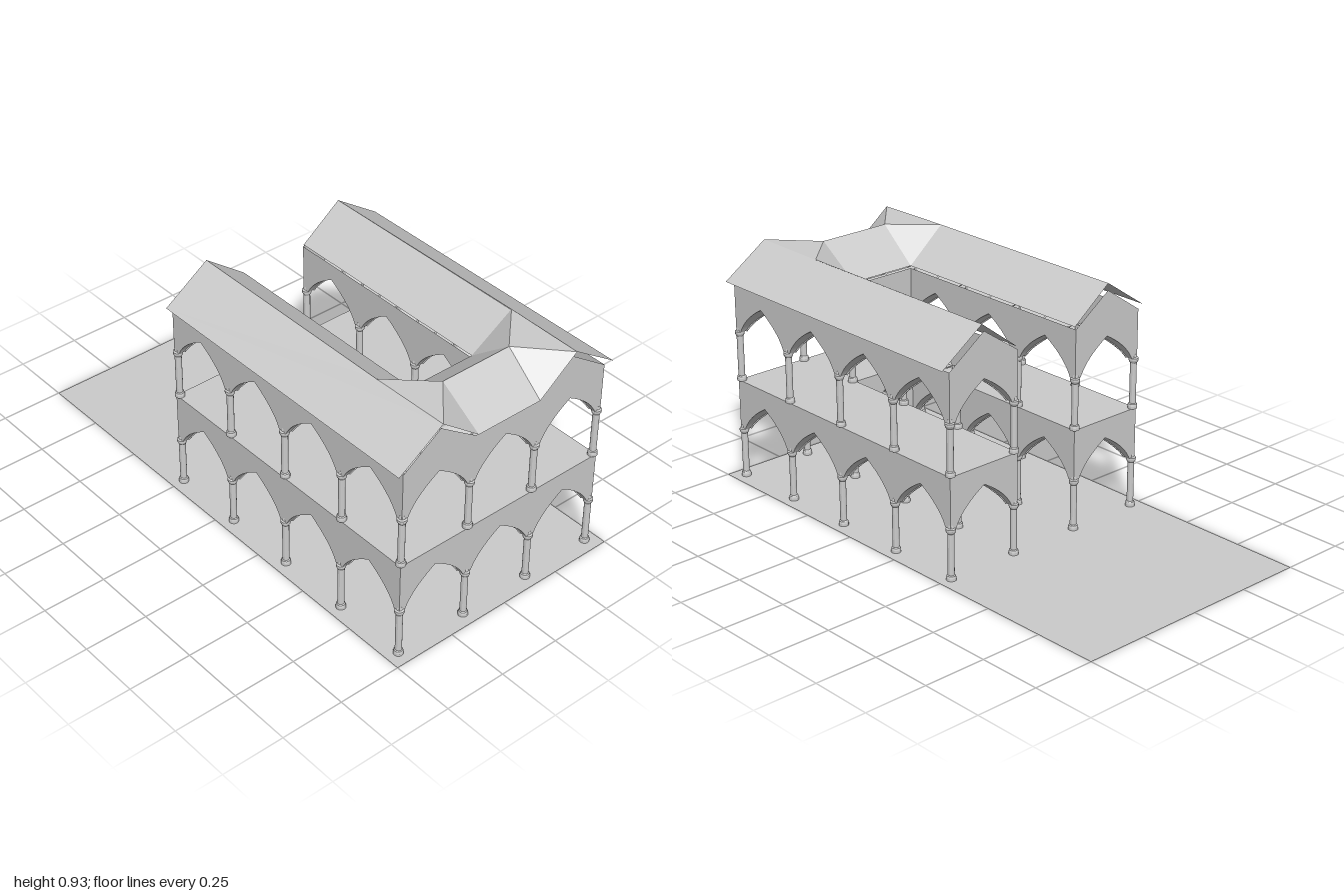
import * as THREE from 'three';

const mat = new THREE.MeshStandardMaterial({ color: 0xcccccc, side: THREE.DoubleSide });
const flat = new THREE.MeshStandardMaterial({ color: 0xcccccc, side: THREE.DoubleSide, flatShading: true });

const BAY = 0.3, OUT = 0.009;            // bay spacing, wall offset from column axes
const X0 = -0.253, X1 = X0 + 4 * BAY;    // first and last column rows
const STEPS = 10;

// Half a pointed arch, from springing (x = 0.132) to apex (x = 0)
const half = new THREE.QuadraticBezierCurve(
  new THREE.Vector2(0.132, 0), new THREE.Vector2(0.103, 0.066), new THREE.Vector2(0, 0.125)
).getPoints(STEPS);
const arch = [...half.map(p => new THREE.Vector2(-p.x, p.y)),
  ...half.slice(0, -1).reverse()];       // left foot to right foot

function add(parent, name, geometry, material = mat) {
  const mesh = new THREE.Mesh(geometry, material);
  mesh.name = name;
  parent.add(mesh);
  return mesh;
}

// Polygons given as corner lists, fanned into flat triangles
function polygons(list) {
  const pos = [];
  for (const p of list)
    for (let i = 1; i < p.length - 1; i++) pos.push(...p[0], ...p[i], ...p[i + 1]);
  const g = new THREE.BufferGeometry();
  g.setAttribute('position', new THREE.Float32BufferAttribute(pos, 3));
  g.computeVertexNormals();
  return g;
}

// Arcade wall in its own plane: bays centred on x = 0, springing at y = 0
function wallGeometry(bays, left, right, top) {
  const s = new THREE.Shape();
  s.moveTo(left, 0);
  for (let i = 0; i < bays; i++) {
    const c = (i - (bays - 1) / 2) * BAY;
    arch.forEach(p => s.lineTo(c + p.x, p.y));
  }
  s.lineTo(right, 0);
  top.forEach(([x, y]) => s.lineTo(x, y));
  s.closePath();
  return new THREE.ShapeGeometry(s);
}

// Four webs of a pointed groin vault
function vaultGeometry() {
  const w = BAY / 2 + OUT, pos = [], idx = [];
  for (let k = 0; k < 4; k++) {
    const c = Math.round(Math.cos(k * Math.PI / 2)), s = Math.round(Math.sin(k * Math.PI / 2));
    const base = pos.length / 3;
    arch.forEach((p, i) => {
      for (const v of [Math.abs(p.x), w]) pos.push(p.x * c + v * s, p.y, -p.x * s + v * c);
      if (i) {
        const a = base + i * 2;
        idx.push(a - 2, a, a - 1, a - 1, a, a + 1);
      }
    });
  }
  const g = new THREE.BufferGeometry();
  g.setAttribute('position', new THREE.Float32BufferAttribute(pos, 3));
  g.setIndex(idx);
  g.computeVertexNormals();
  return g;
}

// Thin rib following the arch; stretch and angle make diagonals
function ribGeometry(dx, dz) {
  const pts = arch.map(p => new THREE.Vector3(p.x * dx, p.y, p.x * dz));
  return new THREE.TubeGeometry(new THREE.CatmullRomCurve3(pts), 20, 0.004, 5);
}

const columnGeometry = new THREE.LatheGeometry([
  [0, 0], [0.0185, 0], [0.0185, 0.01], [0.0165, 0.018], [0.0128, 0.021],
  [0.0128, 0.181], [0.0165, 0.186], [0.0185, 0.192], [0.0185, 0.2], [0.012, 0.203],
  [0.01, 0.215], [0, 0.215]
].map(([x, y]) => new THREE.Vector2(x, y)), 12);

function storey(upper) {
  const g = new THREE.Group();
  g.name = upper ? 'upperStorey' : 'lowerStorey';
  const top = upper ? 0.19 : 0.2, spring = 0.2, peak = 0.3;

  // Columns on every grid point
  for (let i = 0; i < 5; i++)
    for (let j = 0; j < 4; j++)
      add(g, 'column', columnGeometry, flat).position.set(X0 + i * BAY, 0, (j - 1.5) * BAY);

  // Vaults over the two wings and the linking bay
  const vault = vaultGeometry();
  const diagonals = [ribGeometry(1, 1), ribGeometry(1, -1)];
  const across = ribGeometry(0, 1), along = ribGeometry(1, 0);
  for (let i = 0; i < 4; i++)
    for (let j = -1; j <= 1; j++) {
      if (j === 0 && i < 3) continue;
      const x = X0 + (i + 0.5) * BAY, z = j * BAY;
      add(g, 'vault', vault).position.set(x, spring, z);
      diagonals.forEach(d => { add(g, 'diagonalRib', d).position.set(x, spring, z); });
      if (i > 0 && j !== 0) add(g, 'transverseRib', across).position.set(x - BAY / 2, spring, z);
      if (j === 0)
        for (const s of [-1, 1]) add(g, 'transverseRib', along).position.set(x, spring, s * BAY / 2);
    }

  // Arcade walls
  const wall = (name, bays, l, r, x, z, turn, gable) => {
    const line = gable || [[r, top], [l, top]];
    const m = add(g, name, wallGeometry(bays, l, r, line));
    m.position.set(x, spring, z);
    m.rotation.y = turn;
  };
  const xm = (X0 + X1) / 2, L = 2 * BAY + OUT, E = 1.5 * BAY + OUT, I = BAY / 2 - OUT;
  const endTop = upper && [[E, top], [BAY, peak], [I, top], [-I, top], [-BAY, peak], [-E, top]];
  wall('rightEndWall', 3, -E, E, X1 + OUT, 0, Math.PI / 2, endTop);
  wall('courtyardEndWall', 1, -I, I, X1 - BAY - OUT, 0, Math.PI / 2);
  const W = BAY / 2 + OUT;
  const wingTop = upper && [[W, top], [0, peak], [-W, top]];
  for (const s of [-1, 1]) {
    wall('longWall', 4, -L, L, xm, s * E, 0);
    wall('courtyardWall', 3, -1.5 * BAY - OUT, 1.5 * BAY - OUT, X0 + 1.5 * BAY, s * I, 0);
    wall('wingEndWall', 1, -W, W, X0 - OUT, s * BAY, Math.PI / 2, wingTop);
  }
  return g;
}

// U-shaped floor above the lower storey
function floorGeometry() {
  const a = X0 - OUT, b = X1 + OUT, c = X1 - BAY - OUT, e = 1.5 * BAY + OUT, i = BAY / 2 - OUT;
  const s = new THREE.Shape([[a, -e], [b, -e], [b, e], [a, e], [a, i], [c, i], [c, -i], [a, -i]]
    .map(([x, y]) => new THREE.Vector2(x, y)));
  return new THREE.ShapeGeometry(s).rotateX(-Math.PI / 2);
}

// Thin pitched roof over both wings, joined by a lower-span cross ridge
function roofGeometry() {
  const lo = 0.8, hi = 0.925, a = -0.258, b = 0.968, faces = [];
  for (const s of [-1, 1]) {
    const ridgeA = [a, hi, s * 0.305], ridgeK = [0.65, hi, s * 0.307], ridgeB = [b, hi, s * 0.302];
    const crown = [0.8, hi, s * 0.15], innerK = [0.637, lo, s * 0.14], innerB = [b, lo, s * 0.14];
    const list = [
      [[a, lo, s * 0.488], [b, lo, s * 0.488], ridgeB, ridgeK, ridgeA],
      [ridgeA, ridgeK, innerK, [a, lo, s * 0.14]],
      [ridgeK, crown, innerK],
      [ridgeK, ridgeB, crown],
      [ridgeB, innerB, crown]
    ];
    faces.push(...(s > 0 ? list : list.map(f => f.reverse())));
  }
  faces.push(
    [[0.637, lo, -0.14], [0.637, lo, 0.14], [0.8, hi, 0.15], [0.8, hi, -0.15]],
    [[0.8, hi, -0.15], [0.8, hi, 0.15], [b, lo, 0.14], [b, lo, -0.14]]
  );
  return polygons(faces);
}

export function createModel() {
  const model = new THREE.Group();
  model.name = 'arcadedCourtyardBuilding';
  add(model, 'ground', new THREE.PlaneGeometry(2, 1).rotateX(-Math.PI / 2));
  model.add(storey(false));
  add(model, 'upperFloor', floorGeometry()).position.y = 0.4;
  const upper = storey(true);
  upper.position.y = 0.4;
  model.add(upper);
  add(model, 'roof', roofGeometry(), flat);
  return model;
}
